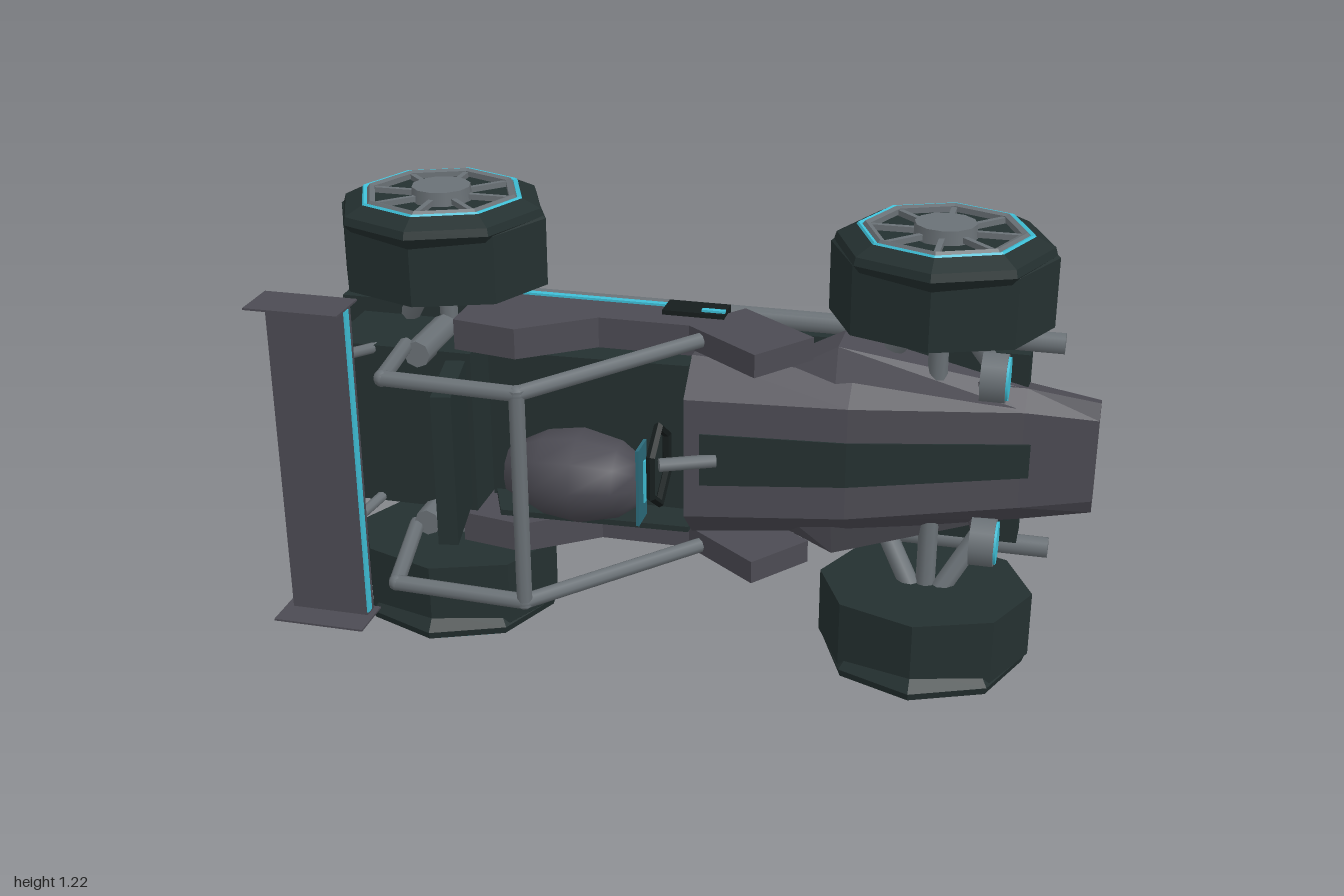
import * as THREE from 'three';

const mat = (name, color) => Object.assign(new THREE.MeshStandardMaterial({ color }), { name });
const M = {
  dark: mat('charcoal', 0x243030),
  black: mat('black', 0x161d1d),
  body: mat('body grey', 0x4c4b53),
  metal: mat('metal grey', 0x6a7176),
  cyan: mat('cyan', 0x3fc0d8),
  glass: mat('teal glass', 0x2b6a7a),
};

// Faceted normals
function flat(geo) {
  const g = geo.index ? geo.toNonIndexed() : geo;
  g.computeVertexNormals();
  return g;
}

function createModel() {
  // Car space: x forward, y sideways, z towards the roof
  const car = new THREE.Group();
  car.name = 'buggy';
  car.position.y = 0.6075;

  function add(name, geo, material, parent = car) {
    const mesh = new THREE.Mesh(geo, material);
    mesh.name = name;
    parent.add(mesh);
    return mesh;
  }
  const box = (name, m, x0, x1, y0, y1, z0, z1) => {
    const mesh = add(name, new THREE.BoxGeometry(x1 - x0, Math.abs(y1 - y0), z1 - z0), m);
    mesh.position.set((x0 + x1) / 2, (y0 + y1) / 2, (z0 + z1) / 2);
    return mesh;
  };
  // Round bar between two points
  function bar(name, a, b, r, m = M.metal, sides = 8) {
    const p = new THREE.Vector3(...a), q = new THREE.Vector3(...b);
    const mesh = add(name, new THREE.CylinderGeometry(r, r, p.distanceTo(q), sides), m);
    mesh.position.copy(p).add(q).multiplyScalar(0.5);
    mesh.quaternion.setFromUnitVectors(new THREE.Vector3(0, 1, 0), q.sub(p).normalize());
    return mesh;
  }
  // Outline in x and z, extruded sideways between y0 and y1
  function slab(name, m, outline, y0, y1) {
    const lo = Math.min(y0, y1), hi = Math.max(y0, y1);
    const shape = new THREE.Shape(outline.map(p => new THREE.Vector2(...p)));
    const g = new THREE.ExtrudeGeometry(shape, { depth: hi - lo, bevelEnabled: false });
    g.rotateX(Math.PI / 2).translate(0, hi, 0);
    return add(name, g, m);
  }
  // Skin over cross-sections [x, [[y, z], ...]] listed from rear to front
  function loft(name, m, sections) {
    const v = [], n = sections[0][1].length;
    const pt = (i, j) => [sections[i][0], ...sections[i][1][j % n]];
    const tri = (...ps) => ps.forEach(p => v.push(...p));
    const last = sections.length - 1;
    for (let i = 0; i < last; i++) for (let j = 0; j < n; j++) {
      tri(pt(i, j), pt(i, j + 1), pt(i + 1, j + 1));
      tri(pt(i, j), pt(i + 1, j + 1), pt(i + 1, j));
    }
    for (let j = 1; j < n - 1; j++) {
      tri(pt(last, 0), pt(last, j), pt(last, j + 1));
      tri(pt(0, 0), pt(0, j + 1), pt(0, j));
    }
    const g = new THREE.BufferGeometry();
    g.setAttribute('position', new THREE.Float32BufferAttribute(v, 3));
    g.computeVertexNormals();
    return add(name, g, m);
  }

  // Floor and rear deck
  box('floor', M.dark, -1, 0.82, -0.26, 0.26, -0.29, -0.2);
  box('rearDeck', M.dark, -0.94, -0.56, -0.22, 0.22, -0.2, 0.03);
  box('cockpitFloor', M.dark, -0.56, 0.02, -0.25, 0.25, -0.2, -0.1);

  // Nose
  const section = (x, top, zt, mid, zm, low, zl) =>
    [x, [[-low, zl], [low, zl], [mid, zm], [top, zt], [-top, zt], [-mid, zm]]];
  loft('nose', M.body, [
    section(0.0, 0.16, 0.05, 0.245, -0.04, 0.225, -0.25),
    section(0.4, 0.15, -0.01, 0.215, -0.08, 0.2, -0.25),
    section(0.82, 0.13, -0.14, 0.18, -0.18, 0.16, -0.27),
    section(1.0, 0.11, -0.18, 0.15, -0.2, 0.13, -0.27),
  ]);
  const stripe = (x, w, z) => [x, [[-w, z - 0.002], [w, z - 0.002], [w, z + 0.004], [-w, z + 0.004]]];
  loft('noseStripe', M.dark, [
    stripe(0.04, 0.07, 0.044), stripe(0.4, 0.06, -0.01), stripe(0.84, 0.045, -0.144),
  ]);

  // Seat, driver head and steering
  const seat = box('seatBack', M.dark, -0.6, -0.55, -0.2, 0.2, 0.03, 0.27);
  seat.rotation.y = 0.2;
  const helmet = new THREE.LatheGeometry(
    [[0, -0.41], [0.06, -0.4], [0.105, -0.31], [0.118, -0.22], [0.095, -0.12], [0.06, -0.07], [0, -0.065]]
      .map(p => new THREE.Vector2(...p)), 10);
  helmet.rotateZ(-Math.PI / 2);
  add('helmet', helmet, M.body).position.z = 0.2;
  box('visor', M.glass, -0.07, -0.062, -0.1, 0.1, 0.17, 0.245);
  box('visorStrip', M.cyan, -0.062, -0.058, -0.055, 0.055, 0.19, 0.205);
  const ring = flat(new THREE.TorusGeometry(0.105, 0.012, 5, 6));
  ring.rotateZ(Math.PI / 2).rotateY(Math.PI / 2).scale(1, 1, 0.85);
  add('steeringWheel', ring, M.black).position.set(-0.05, 0, 0.1);
  bar('steeringColumn', [-0.05, 0, 0.1], [0.08, 0, 0.04], 0.017);

  // Roll cage crossbar
  bar('cageCrossbar', [-0.32, -0.285, 0.37], [-0.32, 0.285, 0.37], 0.02);

  // Rear wing
  box('wing', M.body, -0.98, -0.775, -0.42, 0.42, 0.25, 0.29);
  box('wingStrip', M.cyan, -0.775, -0.77, -0.41, 0.41, 0.272, 0.293);

  for (const s of [1, -1]) {
    // Sidepod, with a raised rear shoulder
    slab('sidepod', M.body,
      [[-0.6, -0.2], [0.04, -0.2], [0.04, -0.07], [-0.25, -0.07], [-0.43, 0.06], [-0.6, 0.03]],
      s * 0.23, s * 0.31);
    slab('cockpitWall', M.dark, [[-0.56, -0.12], [0, -0.12], [0, 0], [-0.5, 0.02]], s * 0.215, s * 0.23);
    box('sideLight', M.cyan, -0.5, -0.1, s * 0.31, s * 0.316, -0.205, -0.188);
    box('sideMarker', M.cyan, 0, 0.06, s * 0.322, s * 0.328, -0.155, -0.14);
    box('sideTrim', M.black, -0.1, 0.06, s * 0.27, s * 0.322, -0.21, -0.13);

    // Angled box beside the nose
    const sideBox = box('sideBox', M.body, 0.0, 0.26, s * 0.25, s * 0.31, -0.165, 0.025);
    sideBox.position.x = 0.14;
    sideBox.rotation.y = -0.66;

    // Tapered fairing beside the nose
    const wedge = (x, y, zt) => [x, s > 0
      ? [[0.12, -0.2], [y, -0.2], [y, zt - 0.05], [0.12, zt]]
      : [[-0.12, zt], [-y, zt - 0.05], [-y, -0.2], [-0.12, -0.2]]];
    loft('noseFairing', M.body, [wedge(0.2, 0.2, -0.01), wedge(0.36, 0.285, -0.03), wedge(0.86, 0.165, -0.15)]);

    // Side rail along the floor
    bar('sideRail', [-0.86, s * 0.283, -0.24], [0.9, s * 0.283, -0.24], 0.028);

    // Headlight
    bar('headlight', [0.71, s * 0.225, -0.12], [0.772, s * 0.225, -0.12], 0.065);
    bar('headlightLens', [0.772, s * 0.225, -0.12], [0.778, s * 0.225, -0.12], 0.058, M.cyan);
    bar('headlightBracket', [0.7, s * 0.15, -0.19], [0.74, s * 0.225, -0.12], 0.022, M.body);

    // Roll cage side
    const cage = [[-0.71, 0.25, 0.08], [-0.66, 0.275, 0.355], [-0.32, 0.275, 0.37], [0.02, 0.285, -0.04]];
    for (let i = 0; i < 3; i++) {
      const [a, b] = [cage[i], cage[i + 1]].map(p => [p[0], s * p[1], p[2]]);
      bar('cageBar', a, b, 0.02);
      if (i) add('cageJoint', new THREE.SphereGeometry(0.021, 8, 6), M.metal).position.set(...a);
    }

    // Wing end plate and strut
    box('wingEndPlate', M.body, -1, -0.76, s * 0.42, s * 0.425, 0.24, 0.365);
    bar('wingStrut', [-0.89, s * 0.25, 0.25], [-0.82, s * 0.205, 0], 0.014);

    // Tail light
    box('tailLight', M.cyan, -0.946, -0.94, s * 0.1, s * 0.2, -0.12, -0.04);
    box('tailLightPanel', M.glass, -0.944, -0.94, s * 0.09, s * 0.21, -0.19, -0.02);

    for (const x of [-0.675, 0.6]) {
      // Suspension arms, axle and damper
      for (const dx of [-0.13, 0.13]) {
        bar('suspensionArm', [x + dx, s * 0.23, -0.19], [x + dx * 0.2, s * 0.4, -0.12], 0.026);
      }
      bar('axle', [x, s * 0.18, -0.14], [x, s * 0.4, -0.13], 0.025);
      if (x < 0) bar('damper', [x, s * 0.235, -0.1], [x, s * 0.235, 0.1], 0.035);

      // Wheel, axle along y
      const wheel = new THREE.Group();
      wheel.name = x > 0 ? 'frontWheel' : 'rearWheel';
      wheel.position.set(x, 0, -0.13);
      if (s < 0) wheel.rotation.x = Math.PI;
      car.add(wheel);
      const lathe = pts => flat(new THREE.LatheGeometry(pts.map(p => new THREE.Vector2(...p)), 8));
      const tread = lathe([[0, 0.365], [0.275, 0.365], [0.275, 0.54], [0.24, 0.57]]);
      add('tyreTread', tread.scale(1, 1, 0.88), M.dark, wheel);
      add('tyreSidewall',
        lathe([[0.23, 0.5], [0.268, 0.545], [0.262, 0.565], [0.215, 0.588], [0.205, 0.572], [0, 0.572]]),
        M.dark, wheel);
      const hoop = (name, r, t, y, m) => add(name,
        flat(new THREE.TorusGeometry(r, t, 5, 8).rotateX(Math.PI / 2)), m, wheel).position.y = y;
      hoop('rimGlow', 0.208, 0.008, 0.585, M.cyan);
      hoop('rim', 0.19, 0.012, 0.585, M.metal);
      for (let i = 0; i < 8; i++) {
        const spoke = new THREE.BoxGeometry(0.14, 0.014, 0.014).translate(0.12, 0.583, 0);
        add('spoke', spoke.rotateY(i * Math.PI / 4), M.metal, wheel);
      }
      add('hub', new THREE.CylinderGeometry(0.075, 0.078, 0.04, 12), M.metal, wheel).position.y = 0.5875;
    }
  }

  const model = new THREE.Group();
  model.name = 'model';
  model.add(car);
  return model;
}

export { createModel };
